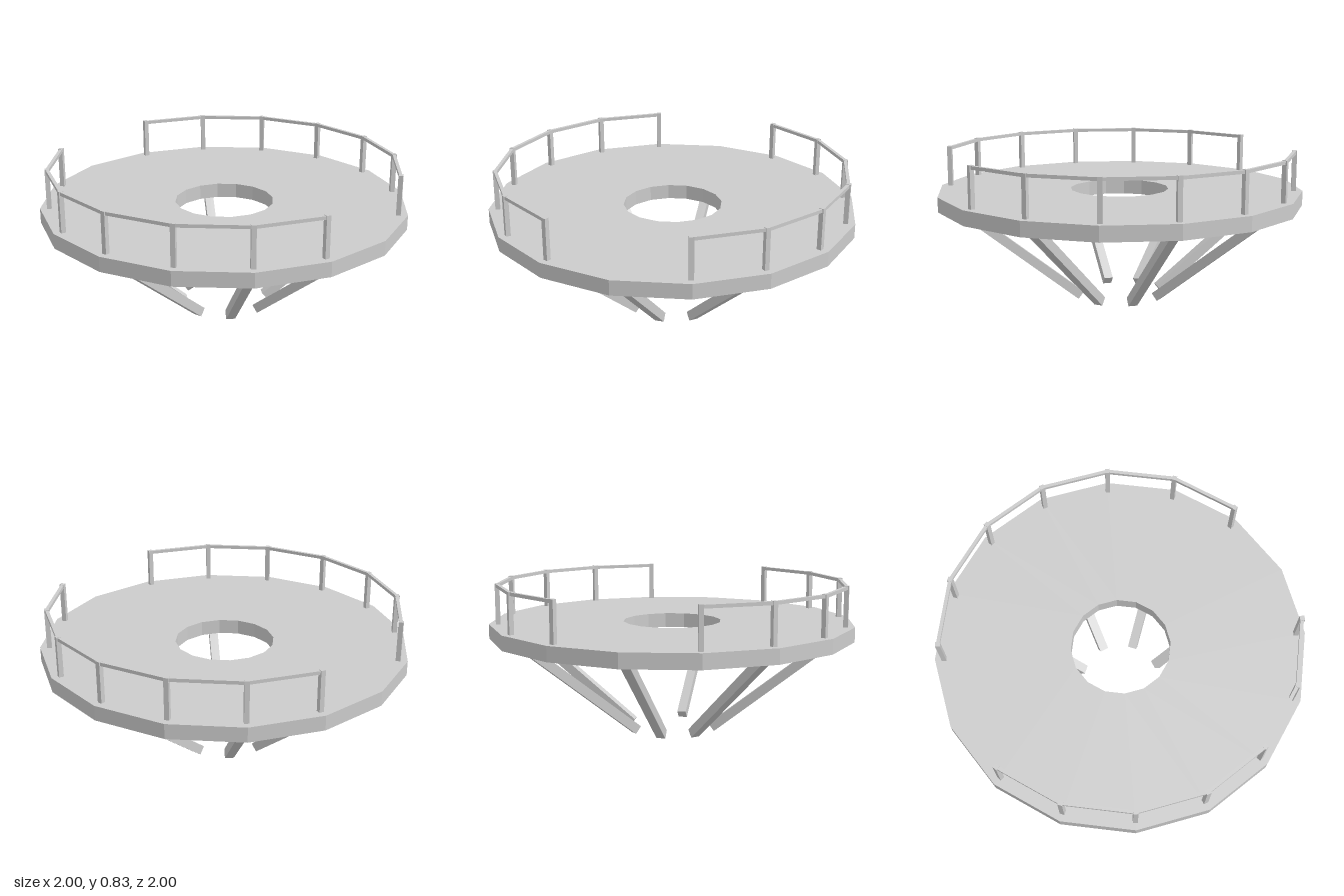
import * as THREE from 'three';

const STEP = Math.PI / 8;

// Square bar running from point a to point b
function bar(name, a, b, size, material) {
  const mesh = new THREE.Mesh(new THREE.BoxGeometry(size, size, a.distanceTo(b)), material);
  mesh.name = name;
  mesh.position.copy(a).add(b).multiplyScalar(0.5);
  mesh.lookAt(b);
  return mesh;
}

// Point at a radius, height and angle around the y axis
const polar = (r, y, angle) => new THREE.Vector3(r * Math.cos(angle), y, r * Math.sin(angle));

export function createModel() {
  const model = new THREE.Group();
  model.name = 'roundPlatform';
  const grey = new THREE.MeshStandardMaterial({ color: 0xcccccc, flatShading: true });
  grey.name = 'lightGrey';

  // Sixteen-sided deck with a central opening
  const profile = [[0.27, 0.53], [1, 0.53], [1, 0.61], [0.27, 0.61], [0.27, 0.53]]
    .map(([x, y]) => new THREE.Vector2(x, y));
  const deck = new THREE.Mesh(new THREE.LatheGeometry(profile, 16), grey);
  deck.name = 'deck';
  model.add(deck);

  // Eight struts sloping in towards the centre
  const struts = new THREE.Group();
  struts.name = 'struts';
  for (let i = 0; i < 8; i++) {
    const angle = i * Math.PI / 4;
    struts.add(bar('strut', polar(0.23, 0.02, angle), polar(0.87, 0.53, angle), 0.05, grey));
  }
  model.add(struts);

  // Front and back railings, with openings on the left and right
  for (const [name, side] of [['frontRailing', 1], ['backRailing', -1]]) {
    const railing = new THREE.Group();
    railing.name = name;
    for (let i = 1; i <= 7; i++) {
      const angle = side * i * STEP;
      const post = new THREE.Mesh(new THREE.BoxGeometry(0.025, 0.22, 0.025), grey);
      post.name = 'post';
      post.position.copy(polar(0.95, 0.72, angle));
      post.rotation.y = -angle;
      railing.add(post);
      if (i < 7) {
        railing.add(bar('rail', polar(0.95, 0.819, angle), polar(0.95, 0.819, angle + side * STEP), 0.018, grey));
      }
    }
    model.add(railing);
  }
  return model;
}
